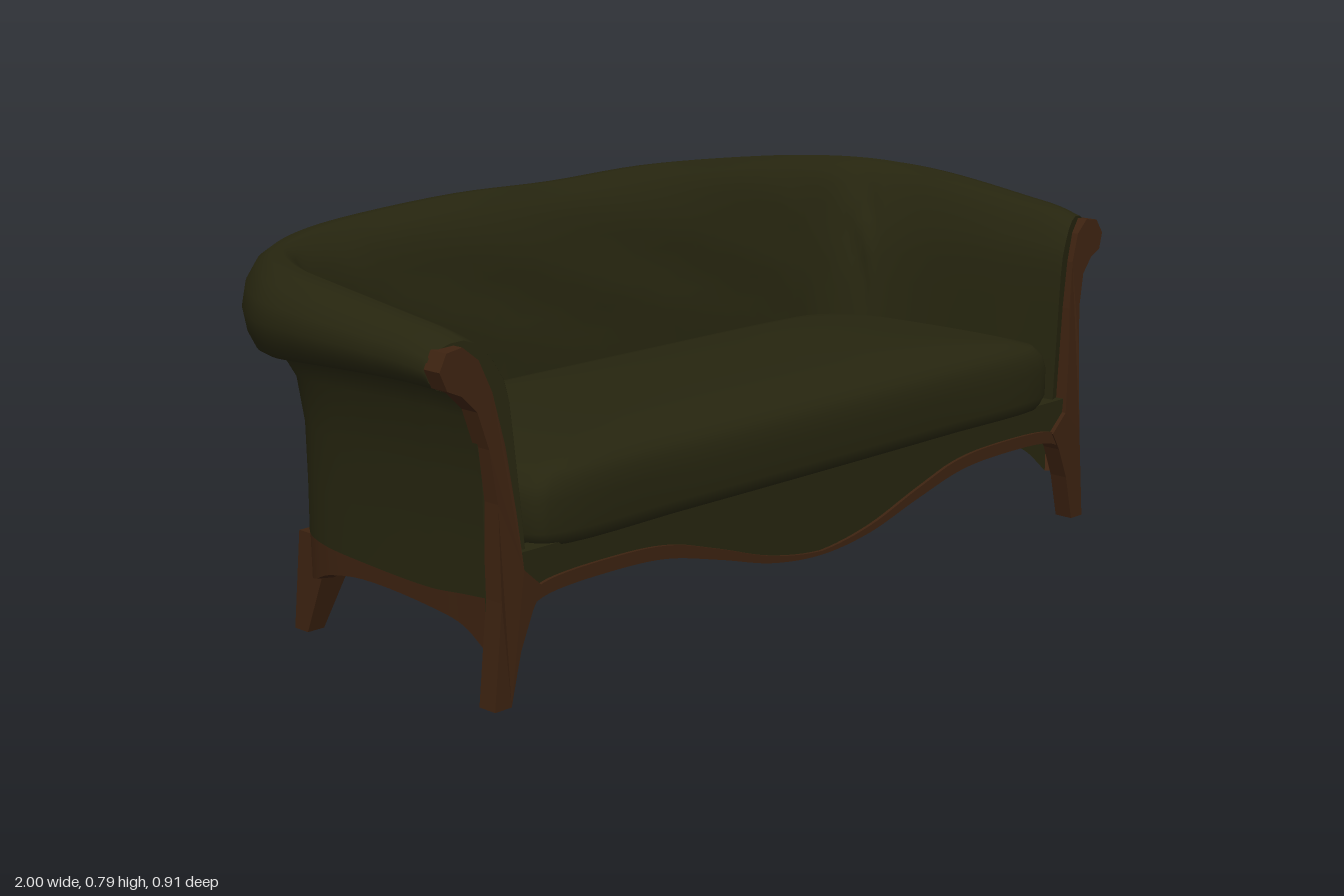
import * as THREE from 'three';

const fabric = new THREE.MeshStandardMaterial({ color: 0x26250f, side: THREE.DoubleSide });
fabric.name = 'olive upholstery';
const wood = new THREE.MeshStandardMaterial({ color: 0x3c2210, side: THREE.DoubleSide });
wood.name = 'brown wood';

// Half plan from the front of the left arm to the middle of the back:
// wall x z, roll x z, inner x z, roll top, roll underside, band top, band bottom
const stations = [
  [.87, .40, .975, .37, .79, .425, .675, .585, .20, .10],
  [.87, .34, .98, .32, .787, .35, .69, .587, .195, .135],
  [.87, .25, .987, .23, .782, .25, .703, .588, .187, .15],
  [.868, .05, 1, .02, .775, .05, .73, .58, .192, .158],
  [.862, -.06, .985, -.1, .758, -.03, .742, .57, .197, .14],
  [.845, -.125, .935, -.2, .735, -.08, .75, .56, .2, .115],
  [.81, -.175, .855, -.3, .70, -.115, .756, .552, .195, .115],
  [.72, -.208, .73, -.39, .64, -.137, .764, .546, .175, .145],
  [.60, -.226, .58, -.438, .56, -.147, .772, .543, .165, .145],
  [.30, -.238, .25, -.453, .30, -.15, .785, .54, .165, .145],
];
const middle = [0, -.24, 0, -.455, 0, -.15, .78, .54, .165, .145];
const flip = a => a.map((v, i) => (i === 0 || i === 2 || i === 4 ? -v : v));
const all = [...stations, middle, ...stations.map(flip).reverse()];
const track = (x, y, z) => new THREE.CatmullRomCurve3(all.map(a => new THREE.Vector3(a[x], a[y], a[z])));
const wallTrack = track(0, 8, 1), baseTrack = track(0, 9, 1);
const rollTrack = track(2, 6, 3), innerTrack = track(4, 7, 5);
const N = 100;

// Section of the shell: k = 0 wall, 1 roll edge, -1 foot of the inner face
const section = [
  [0, .15], [0, .3], [.02, .42], [.14, .5], [.37, .54], [.65, .545], [.8, .56], [.93, .6], [1, .655],
  [.93, .71], [.75, .755], [.53, .78], [.3, .787], [.09, .765], [-.1, .72], [-.27, .67], [-.4, .62],
  [-.52, .57], [-.63, .52], [-.72, .47], [-.8, .42], [-.92, .32], [-1, .23],
];

// Smooth surface through rows of points
function skin(rows, closed = false) {
  const m = rows[0].length, n = rows.length, index = [];
  for (let i = 0; i < (closed ? n : n - 1); i++) for (let j = 0; j < m - 1; j++) {
    const a = i * m + j, b = ((i + 1) % n) * m + j;
    index.push(a, b, a + 1, b, b + 1, a + 1);
  }
  const g = new THREE.BufferGeometry();
  g.setAttribute('position', new THREE.Float32BufferAttribute(rows.flat(2), 3));
  g.setIndex(index);
  g.computeVertexNormals();
  return g;
}

function shellRow(i) {
  const t = i / N, w = wallTrack.getPoint(t), o = rollTrack.getPoint(t), q = innerTrack.getPoint(t);
  return section.map(([k0, y0], j) => {
    let k = k0, y = y0;
    if (j === 0) y = w.y;
    else if (y > .54) y = q.y + (y - .54) / .247 * (o.y - q.y);
    else if (y > .42) y = .42 + (y - .42) / .12 * (q.y - .42);
    // shallow tufting on the inside of the back
    if (j > 14 && j < 20 && i > 24 && i < N - 24) k += .06 * Math.cos(i * Math.PI / 4 + j * Math.PI / 2);
    const e = k > 0 ? o : q, f = Math.abs(k);
    return [w.x + (e.x - w.x) * f, y, w.z + (e.z - w.z) * f];
  });
}

function polygon(points, s = 1) {
  return new THREE.Shape(points.map(([x, y]) => new THREE.Vector2(s * x, y)));
}

export function createModel() {
  const model = new THREE.Group();
  model.name = 'sofa';
  const add = (name, geometry, material) => {
    const mesh = new THREE.Mesh(geometry, material);
    mesh.name = name;
    model.add(mesh);
    return mesh;
  };

  // Rolled back and arms in one sweep
  const rows = Array.from({ length: N + 1 }, (_, i) => shellRow(i));
  add('backAndArms', skin(rows), fabric);

  // Wooden band under the shell, with an upholstered lining
  const band = [], edge = [], lining = [], floor = [];
  for (let i = 0; i <= N; i++) {
    const top = wallTrack.getPoint(i / N), b = baseTrack.getPoint(i / N);
    const ix = top.x * .965, iz = top.z + (.1 - top.z) * .08;
    band.push([[b.x, b.y, b.z], [top.x, top.y, top.z]]);
    edge.push([[ix, b.y, iz], [b.x, b.y, b.z]]);
    lining.push([[ix, .205, iz], [ix, b.y, iz]]);
    floor.push([ix, -iz]);
  }
  add('baseBand', skin(band), wood);
  add('baseBandEdge', skin(edge), wood);
  add('baseLining', skin(lining), fabric);

  // Underside panel
  const panel = new THREE.ShapeGeometry(polygon(floor));
  panel.rotateX(-Math.PI / 2).translate(0, .2, 0);
  add('undersidePanel', panel, wood);

  // Crowned seat cushion
  const half = [[.775, .40], [.775, .1], [.757, -.02], [.72, -.09], [.66, -.135], [.55, -.15]];
  const front = [[-.74, .438], [-.4, .446], [0, .448], [.4, .446], [.74, .438]];
  const plan = [...half, [0, -.155], ...half.map(([x, z]) => [-x, z]).reverse(), ...front];
  const outline = new THREE.CatmullRomCurve3(plan.map(([x, z]) => new THREE.Vector3(x, 0, z)), true);
  const rings = [[.9, .27], [.98, .275], [1, .3], [1, .36], [.988, .39], [.955, .412], [.88, .428], [.7, .443], [.4, .452], [0, .455]];
  const cushion = outline.getPoints(96).slice(0, 96).map(p =>
    rings.map(([s, y]) => [p.x * s, y, .15 + (p.z - .15) * s]));
  add('seatCushion', skin(cushion, true), fabric);

  // Serpentine front apron with wooden trim
  const wave = new THREE.SplineCurve([[-.82, .165], [-.75, .192], [-.6, .198], [-.45, .19], [-.3, .155], [-.15, .115],
    [0, .1], [.15, .115], [.3, .155], [.45, .19], [.6, .198], [.75, .192], [.82, .165]]
    .map(([x, y]) => new THREE.Vector2(x, y))).getPoints(72).map(p => [p.x, p.y]);
  const apron = new THREE.ExtrudeGeometry(polygon([...wave, [.82, .28], [-.82, .28]]), { depth: .04, bevelEnabled: false });
  add('frontApron', apron.translate(0, 0, .395), fabric);
  const raised = wave.map(([x, y]) => [x, y + .008 + .018 * Math.min(1, Math.abs(x) / .4)]).reverse();
  const trim = new THREE.ExtrudeGeometry(polygon([...wave, ...raised]), { depth: .02, bevelEnabled: false });
  add('apronTrim', trim.translate(0, 0, .422), wood);

  // Arm fronts: leg, post and scroll in one piece
  const post = [[.89, 0], [.88, .1], [.87, .2], [.868, .38], [.878, .48], [.898, .55], [.93, .583], [.962, .597],
    [.976, .632], [.957, .663], [.92, .668], [.885, .64], [.86, .58], [.84, .48], [.827, .36], [.815, .25],
    [.77, .21], [.795, .17], [.825, .1], [.85, 0]];
  for (const s of [1, -1]) {
    const side = s > 0 ? 'left' : 'right';
    const cap = new THREE.ShapeGeometry(polygon(rows[0].map(p => [p[0], p[1]]), s));
    const c = cap.attributes.position;
    for (let i = 0; i < c.count; i++) c.setZ(i, .4 - .3 * (Math.abs(c.getX(i)) - .87));
    cap.computeVertexNormals();
    add(side + 'ArmFront', cap, fabric);

    const g = new THREE.ExtrudeGeometry(polygon(post, s), { depth: .042, bevelEnabled: false });
    const p = g.attributes.position;
    for (let i = 0; i < p.count; i++) p.setZ(i, p.getZ(i) + .403 - .1 * Math.max(0, p.getY(i) - .3));
    g.computeVertexNormals();
    add(side + 'FrontLegAndPost', g, wood);

    // Tapered, splayed back leg
    const leg = new THREE.BoxGeometry(1, .2, 1).translate(0, .1, 0);
    const v = leg.attributes.position;
    for (let i = 0; i < v.count; i++) {
      const up = v.getY(i) > .1;
      v.setX(i, s * (up ? .795 : .825) + v.getX(i) * (up ? .08 : .04));
      v.setZ(i, (up ? -.13 : -.17) + v.getZ(i) * (up ? .1 : .04));
    }
    leg.computeVertexNormals();
    add(side + 'BackLeg', leg, wood);
  }
  return model;
}
